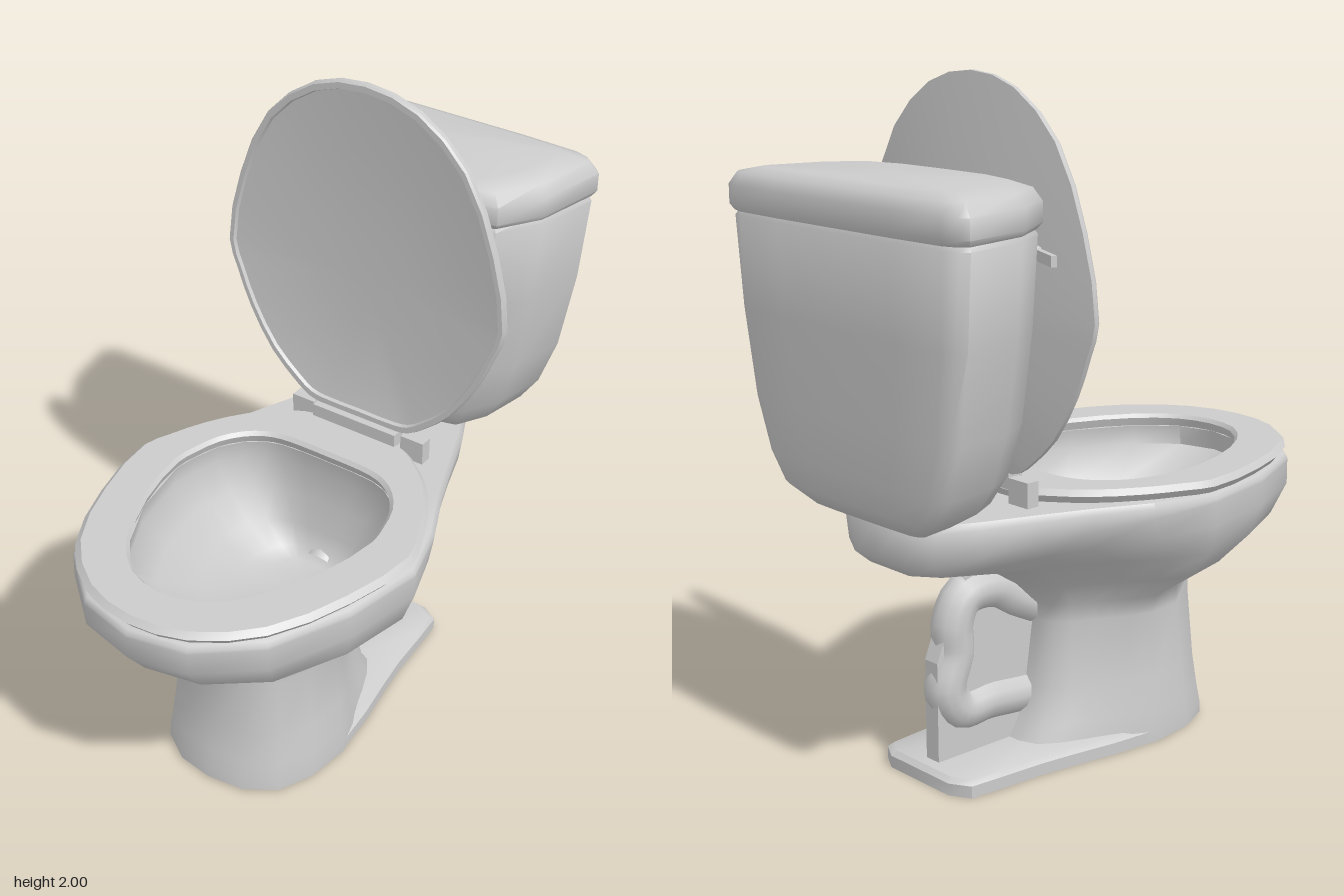
import * as THREE from 'three';
import { toCreasedNormals } from 'three/addons/utils/BufferGeometryUtils.js';

const material = new THREE.MeshStandardMaterial({ color: 0xcccccc });

// Egg outlines. Front half: [share of width, share of depth back from the tip].
// Rear half: [share of depth, share of main width, share of rear width].
const FRONT = [[0, 0], [0.36, 0.06], [0.69, 0.27], [0.905, 0.63], [1, 1]];
const FULL = [[0, 0], [0.42, 0.05], [0.76, 0.23], [0.94, 0.57], [1, 1]];
const WAIST = [[0.23, 0.75, 0.25], [0.43, 0.4, 0.6], [0.6, 0.15, 0.85]];
const TAPER = [...WAIST, [0.8, 0, 0.9], [0.94, 0, 0.7], [1, 0, 0.36]];
const STYLES = {
  shelf: { front: FRONT, rear: TAPER },
  pedestal: { front: FULL, rear: TAPER },
  foot: { front: FULL, rear: [...WAIST, [0.8, 0, 1], [0.95, 0, 0.95], [1, 0, 0.65]] },
  round: {
    front: FRONT,
    rear: [[0.2, 0.94, 0], [0.45, 0.84, 0], [0.73, 0.67, 0], [0.91, 0.48, 0], [0.98, 0.38, 0], [1, 0.28, 0]],
  },
  hole: {
    front: [[0, 0], [0.33, 0.055], [0.63, 0.25], [0.885, 0.61], [1, 1]],
    rear: [[0.25, 0.97, 0], [0.55, 0.9, 0], [0.78, 0.77, 0], [0.92, 0.62, 0], [0.98, 0.47, 0], [1, 0.25, 0]],
  },
};
// Half outline of a tank section: [share of width, share of depth]
const TANK = [[0, 0], [0.44, 0.01], [0.75, 0.1], [0.91, 0.4], [1, 0.9], [0.96, 0.95], [0.87, 0.985], [0.5, 1], [0, 1]];

// Complete a half outline (+x side, front to rear) with its mirror image
const mirror = (half) => half.concat(
  half.slice(1, -1).reverse().map((p) => new THREE.Vector3(-p.x, p.y, p.z)));

function egg(style, y, zFront, zMid, zBack, w, wRear = 0, yRear = y) {
  const { front, rear } = STYLES[style];
  const half = front.map(([a, b]) => new THREE.Vector3(a * w, y, zFront + (zMid - zFront) * b));
  for (const [t, a, b] of rear) {
    half.push(new THREE.Vector3(a * w + b * wRear, y + (yRear - y) * t, zMid + (zBack - zMid) * t));
  }
  half.push(new THREE.Vector3(0, yRear, zBack));
  return mirror(half);
}

const tankRing = (y, zFront, zBack, w) => mirror(
  TANK.map(([a, b]) => new THREE.Vector3(a * w, y, zFront + (zBack - zFront) * b)));

// Double the points of a ring along a smooth curve
const smooth = (ring) => new THREE.CatmullRomCurve3(ring, true).getPoints(ring.length * 2).slice(0, -1);

// Skin a list of equal-sized rings; either capped or joined last to first
function loft(rings, { closed = false, crease = 0.75 } = {}) {
  const n = rings[0].length;
  const positions = rings.flat().flatMap((p) => [p.x, p.y, p.z]);
  const index = [];
  const spans = closed ? rings.length : rings.length - 1;
  for (let i = 0; i < spans; i++) {
    const lo = i * n, hi = ((i + 1) % rings.length) * n;
    for (let j = 0; j < n; j++) {
      const k = (j + 1) % n;
      index.push(lo + j, lo + k, hi + k, lo + j, hi + k, hi + j);
    }
  }
  if (!closed) {
    [0, rings.length - 1].forEach((r, end) => {
      const c = rings[r].reduce((s, p) => s.add(p), new THREE.Vector3()).divideScalar(n);
      const id = positions.length / 3;
      positions.push(c.x, c.y, c.z);
      for (let j = 0; j < n; j++) {
        const a = r * n + j, b = r * n + ((j + 1) % n);
        index.push(id, end ? a : b, end ? b : a);
      }
    });
  }
  const g = new THREE.BufferGeometry();
  g.setAttribute('position', new THREE.Float32BufferAttribute(positions, 3));
  g.setIndex(index);
  return toCreasedNormals(g, crease);
}

export function createModel() {
  const model = new THREE.Group();
  model.name = 'toilet';
  const add = (name, geometry, x = 0, y = 0, z = 0) => {
    const mesh = new THREE.Mesh(geometry, material);
    mesh.name = name;
    mesh.position.set(x, y, z);
    model.add(mesh);
    return mesh;
  };
  const box = (w, h, d) => new THREE.BoxGeometry(w, h, d);

  // Pedestal, flared bowl, rear shelf and hollow basin in one skin
  add('bowl', loft([
    egg('pedestal', 0.005, 0.48, 0.15, -0.25, 0.275, 0.18),
    egg('pedestal', 0.04, 0.477, 0.15, -0.235, 0.275, 0.18),
    egg('pedestal', 0.1, 0.462, 0.15, -0.195, 0.27, 0.175),
    egg('pedestal', 0.2, 0.445, 0.15, -0.165, 0.26, 0.165),
    egg('pedestal', 0.4, 0.435, 0.15, -0.135, 0.238, 0.15),
    egg('shelf', 0.46, 0.45, 0.15, -0.15, 0.26, 0.16),
    egg('shelf', 0.55, 0.6, 0.15, -0.22, 0.39, 0.19, 0.53),
    egg('shelf', 0.64, 0.74, 0.15, -0.34, 0.47, 0.22, 0.61),
    egg('shelf', 0.73, 0.81, 0.14, -0.64, 0.5, 0.24, 0.66),
    egg('shelf', 0.8, 0.81, 0.14, -0.685, 0.5, 0.27, 0.7),
    egg('shelf', 0.81, 0.81, 0.14, -0.692, 0.5, 0.28, 0.8),
    egg('shelf', 0.822, 0.8, 0.14, -0.68, 0.49, 0.27),
    egg('hole', 0.822, 0.67, 0.14, -0.15, 0.355),
    egg('hole', 0.76, 0.68, 0.14, -0.16, 0.365),
    egg('hole', 0.66, 0.56, 0.12, -0.15, 0.31),
    egg('hole', 0.56, 0.37, 0.08, -0.13, 0.24),
    egg('hole', 0.49, 0.16, 0.03, -0.11, 0.16),
    egg('hole', 0.47, 0.07, 0, -0.08, 0.09),
  ], { crease: 0.95 }));

  // Foot plate running out behind the pedestal
  add('footPlate', loft([
    egg('foot', 0, 0.465, 0.15, -0.55, 0.27, 0.2),
    egg('foot', 0.036, 0.465, 0.15, -0.55, 0.27, 0.2),
    egg('foot', 0.05, 0.44, 0.15, -0.535, 0.25, 0.185),
  ]));

  // Upright web under the shelf
  const web = new THREE.Shape([
    [0.12, 0.04], [0.5, 0.04], [0.5, 0.35], [0.44, 0.5], [0.35, 0.64], [0.24, 0.6], [0.12, 0.42],
  ].map(([a, b]) => new THREE.Vector2(a, b)));
  add('trapWeb', new THREE.ExtrudeGeometry(web, { depth: 0.054, bevelEnabled: false }), -0.027)
    .rotation.y = Math.PI / 2;

  // Winding trap pipe, bulging out on both sides of the web
  const trapPath = new THREE.CatmullRomCurve3([
    [-0.12, 0.44], [-0.2, 0.48], [-0.28, 0.525], [-0.38, 0.52], [-0.42, 0.45], [-0.42, 0.36],
    [-0.45, 0.25], [-0.405, 0.185], [-0.3, 0.185], [-0.2, 0.175], [-0.13, 0.17],
  ].map(([z, y]) => new THREE.Vector3(0, y, z)));
  add('trapPipe', new THREE.TubeGeometry(trapPath, 40, 0.062, 12));

  // Seat ring with rounded outer edge
  add('seat', loft([
    egg('round', 0.824, 0.785, 0.14, -0.3, 0.475),
    egg('round', 0.845, 0.802, 0.14, -0.31, 0.492),
    egg('round', 0.862, 0.785, 0.14, -0.297, 0.475),
    egg('hole', 0.862, 0.665, 0.14, -0.15, 0.355),
    egg('hole', 0.85, 0.655, 0.14, -0.14, 0.345),
    egg('hole', 0.824, 0.665, 0.14, -0.15, 0.355),
  ].map(smooth), { closed: true, crease: 0.6 }));

  // Raised lid: narrow rim around a shallow dish in front, gentle dome behind
  add('lid', loft([
    egg('round', 0.348, 1.55, 1.37, 1.2, 0.14),
    egg('round', 0.338, 1.78, 1.37, 1.02, 0.32),
    egg('round', 0.32, 1.972, 1.37, 0.925, 0.462),
    egg('round', 0.309, 1.976, 1.37, 0.921, 0.466),
    egg('round', 0.309, 1.995, 1.37, 0.902, 0.48),
    egg('round', 0.316, 2.0, 1.37, 0.9, 0.485),
    egg('round', 0.33, 2.0, 1.37, 0.9, 0.485),
    egg('round', 0.355, 1.78, 1.37, 1.02, 0.32),
    egg('round', 0.37, 1.55, 1.37, 1.2, 0.14),
  ].map(smooth), { crease: 0.5 })).rotation.x = -Math.PI / 2;

  // Hinge bar and posts
  add('hingeBar', box(0.3, 0.045, 0.05), 0, 0.88, -0.31);
  for (const side of [-1, 1]) {
    add('hingePost', box(0.08, 0.075, 0.04), side * 0.2, 0.858, -0.325);
  }

  // Tank body, tapering to a rounded underside
  add('tank', loft([
    tankRing(0.82, -0.52, -0.73, 0.24),
    tankRing(0.87, -0.455, -0.77, 0.33),
    tankRing(0.95, -0.425, -0.78, 0.385),
    tankRing(1.1, -0.405, -0.788, 0.437),
    tankRing(1.35, -0.393, -0.795, 0.478),
    tankRing(1.605, -0.385, -0.8, 0.498),
    tankRing(1.63, -0.4, -0.785, 0.48),
  ], { crease: 0.95 }));

  // Tank cover
  add('tankCover', loft([
    tankRing(1.618, -0.385, -0.803, 0.495),
    tankRing(1.635, -0.372, -0.813, 0.508),
    tankRing(1.69, -0.372, -0.813, 0.508),
    tankRing(1.725, -0.39, -0.8, 0.48),
    tankRing(1.742, -0.43, -0.76, 0.4),
  ], { crease: 0.95 }));

  // Flush lever on the front right corner
  add('leverPivot', new THREE.CylinderGeometry(0.02, 0.02, 0.06, 10), -0.3, 1.54, -0.39)
    .rotation.x = Math.PI / 2;
  add('flushLever', box(0.16, 0.03, 0.016), -0.36, 1.54, -0.395).rotation.y = -0.4;

  return model;
}
